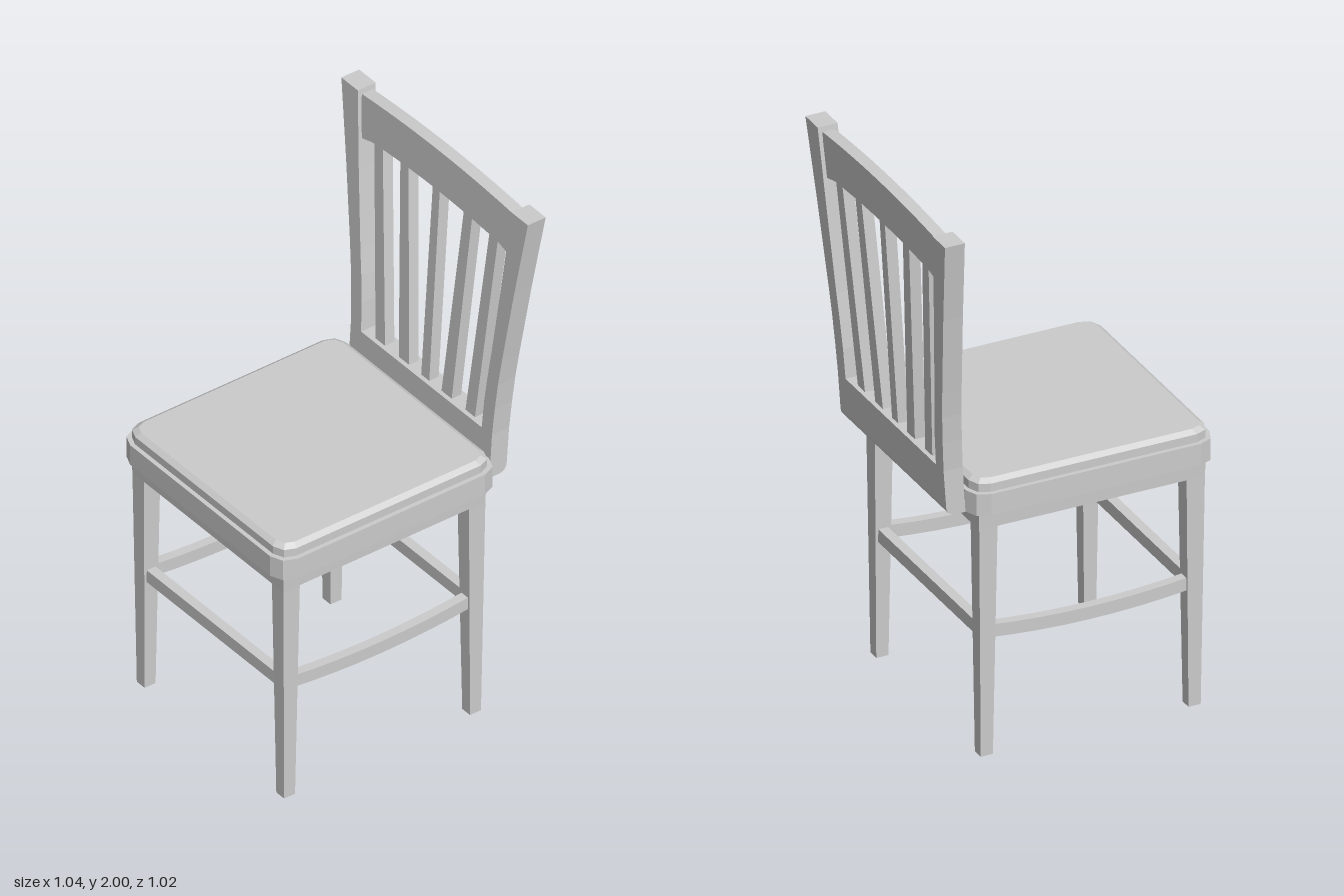
import * as THREE from 'three';

const material = new THREE.MeshStandardMaterial({ color: 0xcccccc, flatShading: true });

// Closed solid through a list of rings, each with the same number of [x, y, z] points
function loft(rings) {
  const n = rings[0].length, last = rings.length - 1, tris = [];
  for (let r = 0; r < last; r++) {
    for (let i = 0; i < n; i++) {
      const j = (i + 1) % n;
      const a = rings[r][i], b = rings[r][j], c = rings[r + 1][j], d = rings[r + 1][i];
      tris.push([a, b, c], [a, c, d]);
    }
  }
  for (let i = 1; i < n - 1; i++) {
    tris.push([rings[0][0], rings[0][i + 1], rings[0][i]]);
    tris.push([rings[last][0], rings[last][i], rings[last][i + 1]]);
  }
  // A negative volume means the faces point inward: turn them round
  const v = (p) => new THREE.Vector3(...p);
  const volume = tris.reduce((s, [a, b, c]) => s + v(a).dot(v(b).cross(v(c))), 0);
  if (volume < 0) tris.forEach((t) => t.reverse());
  const geometry = new THREE.BufferGeometry();
  geometry.setAttribute('position', new THREE.Float32BufferAttribute(tris.flat(2), 3));
  geometry.computeVertexNormals();
  return geometry;
}

// Rectangular section at height y
const rect = (y, x0, x1, z0, z1) => [[x0, y, z0], [x1, y, z0], [x1, y, z1], [x0, y, z1]];

// Rectangle with softened corners at height y, centred on the seat
function softRect(y, hx, hz, r) {
  const ring = [];
  [[1, 1], [-1, 1], [-1, -1], [1, -1]].forEach(([sx, sz], corner) => {
    for (let k = 0; k <= 2; k++) {
      const a = (corner + k / 2) * Math.PI / 2;
      ring.push([-0.07 + sx * (hx - r) + r * Math.cos(a), y, sz * (hz - r) + r * Math.sin(a)]);
    }
  });
  return ring;
}

// Raked front and back planes of the backrest
const frontX = (y) => 0.38 + 0.06 * (y - 0.92);
const backX = (y) => 0.45 + 0.063 * (y - 0.92);

export function createModel() {
  const group = new THREE.Group();
  const add = (name, geometry) => {
    const mesh = new THREE.Mesh(geometry, material);
    mesh.name = name;
    group.add(mesh);
  };

  // Seat frame, cushion and apron
  add('seatFrame', loft([softRect(0.92, 0.45, 0.448, 0.065), softRect(1.0, 0.45, 0.448, 0.065)]));
  add('cushion', loft([
    softRect(1.0, 0.434, 0.432, 0.055), softRect(1.03, 0.434, 0.432, 0.055),
    softRect(1.043, 0.415, 0.413, 0.045),
  ]));
  add('apron', loft([rect(0.855, -0.488, 0.343, -0.413, 0.413), rect(0.92, -0.49, 0.345, -0.415, 0.415)]));

  // Tapered legs
  for (const sx of [-1, 1]) {
    for (const sz of [-1, 1]) {
      const section = (y, outX, inX, outZ, inZ) =>
        rect(y, -0.0725 + sx * inX, -0.0725 + sx * outX, sz * inZ, sz * outZ);
      add(sx < 0 ? 'frontLeg' : 'backLeg', loft([
        section(0, 0.405, 0.36, 0.403, 0.36), section(0.855, 0.4155, 0.348, 0.413, 0.35),
      ]));
    }
  }

  // Sagging side stretchers
  for (const sz of [-1, 1]) {
    const rings = [];
    for (let i = 0; i <= 8; i++) {
      const t = i / 4 - 1, x = -0.0725 + 0.37 * t, y = 0.415 + 0.022 * t * t;
      rings.push([[x, y, sz * 0.365], [x, y + 0.047, sz * 0.365], [x, y + 0.047, sz * 0.4], [x, y, sz * 0.4]]);
    }
    add('sideStretcher', loft(rings));
  }
  // Straight front and back stretchers
  for (const x of [-0.455, 0.31]) {
    const geometry = new THREE.BoxGeometry(0.036, 0.048, 0.74);
    geometry.translate(x, 0.459, 0);
    add('crossStretcher', geometry);
  }

  // Lower back rail with a rounded bottom edge
  const profile = [[frontX(1.09), 1.09], [0.38, 0.92], [0.42, 0.92]];
  for (let i = 1; i <= 4; i++) {
    const a = i / 4 * Math.PI / 2;
    profile.push([0.42 + 0.031 * Math.sin(a), 0.951 - 0.031 * Math.cos(a)]);
  }
  profile.push([backX(1.09), 1.09]);
  add('lowerBackRail', loft([-0.386, 0.386].map((z) => profile.map(([x, y]) => [x, y, z]))));

  // Back posts: upright at the bottom, flaring outward
  const flare = [[1.09, 0.33, 0.386], [1.2, 0.335, 0.393], [1.3, 0.345, 0.402],
    [1.4, 0.358, 0.415], [1.7, 0.391, 0.46], [2, 0.42, 0.51]];
  for (const s of [-1, 1]) {
    add('backPost', loft(flare.map(([y, z0, z1]) => rect(y, frontX(y), backX(y), s * z0, s * z1))));
  }

  // Arched top rail
  const arch = [];
  for (let i = 0; i <= 12; i++) {
    const t = i / 6 - 1, z = 0.415 * t;
    const top = 2 - 0.017 * t * t, bottom = 1.845 - 0.022 * t * t - (Math.abs(t) > 0.99 ? 0.012 : 0);
    arch.push([[frontX(bottom) + 0.014, bottom, z], [backX(bottom) - 0.014, bottom, z],
      [backX(top) - 0.014, top, z], [frontX(top) + 0.014, top, z]]);
  }
  add('topRail', loft(arch));

  // Fanned slats: bottom centre, top centre, bottom width, top width
  for (const [zb, zt, wb, wt] of [[-0.245, -0.317, 0.052, 0.046], [-0.116, -0.175, 0.056, 0.045],
    [0, 0, 0.044, 0.038], [0.116, 0.175, 0.056, 0.045], [0.245, 0.317, 0.052, 0.046]]) {
    add('backSlat', loft([[1.08, zb, wb], [1.86, zt, wt]].map(([y, z, w]) =>
      rect(y, frontX(y) + 0.016, backX(y) - 0.016, z - w / 2, z + w / 2))));
  }

  return group;
}
